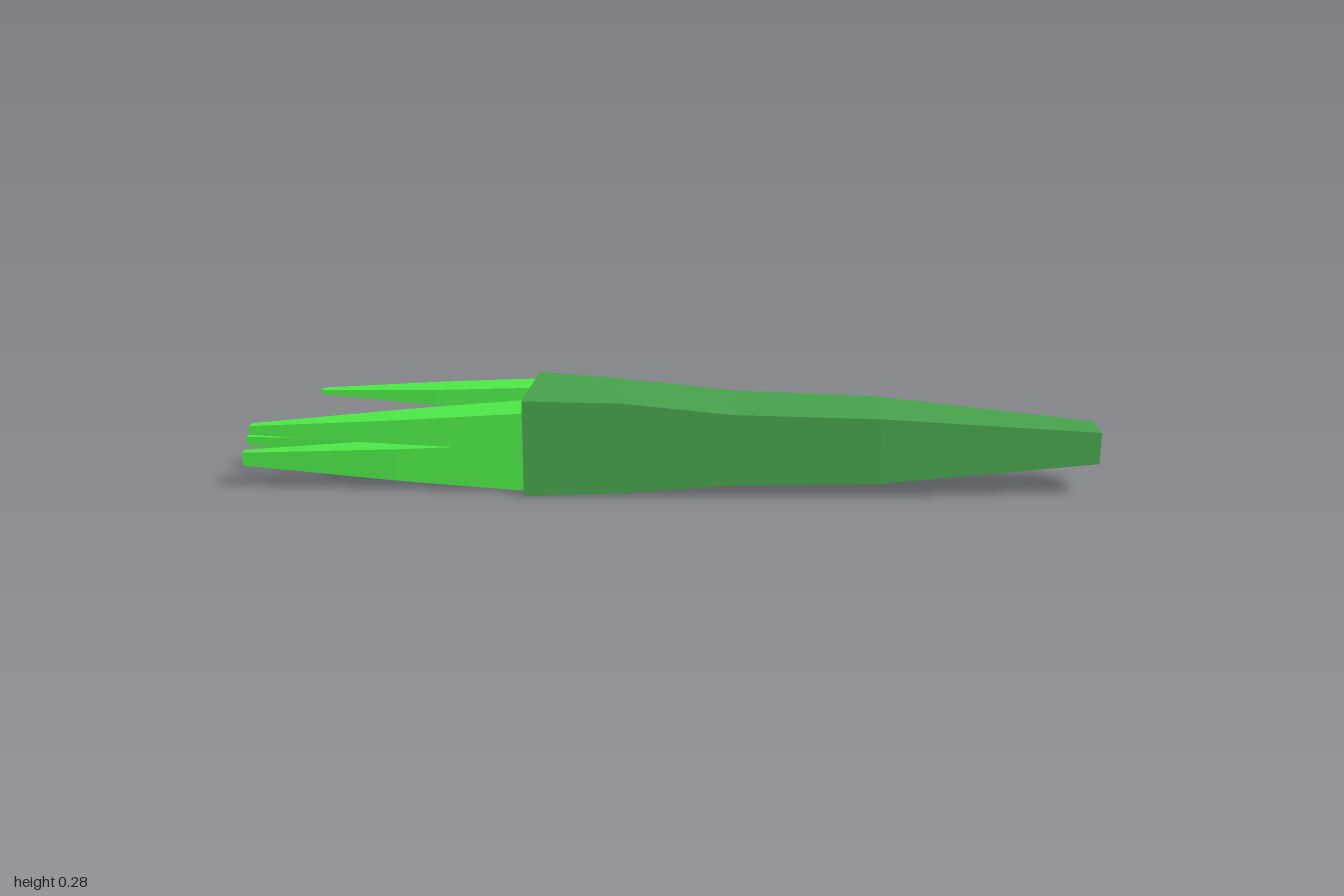
import * as THREE from 'three';

// Loft through four-cornered sections: [leftX, leftZ, rightX, rightZ, bottomY, topY]
function loft(sections) {
  const rings = sections.map(([lx, lz, rx, rz, y0, y1]) => [
    [lx, y0, lz], [rx, y0, rz], [rx, y1, rz], [lx, y1, lz],
  ]);
  const pos = [];
  const quad = (a, b, c, d) => [a, b, c, a, c, d].forEach((p) => pos.push(...p));
  for (let s = 0; s < rings.length - 1; s++) {
    const a = rings[s], b = rings[s + 1];
    for (let i = 0; i < 4; i++) {
      const j = (i + 1) % 4;
      quad(a[i], a[j], b[j], b[i]);
    }
  }
  const first = rings[0], last = rings[rings.length - 1];
  quad(first[3], first[2], first[1], first[0]);
  quad(...last);
  const geo = new THREE.BufferGeometry();
  geo.setAttribute('position', new THREE.Float32BufferAttribute(pos, 3));
  geo.computeVertexNormals();
  return geo;
}

export function createModel() {
  const group = new THREE.Group();
  const stalkMat = new THREE.MeshStandardMaterial({ color: 0x46a04b, flatShading: true });
  const leafMat = new THREE.MeshStandardMaterial({ color: 0x4ce846, flatShading: true });

  // Stalk, from the leafy end to the narrow tip
  const stalk = new THREE.Mesh(loft([
    [-0.32, -0.22, -0.07, -0.39, 0.0, 0.275],
    [-0.145, -0.015, 0.05, -0.17, 0.008, 0.268],
    [0.04, 0.23, 0.235, 0.09, 0.036, 0.24],
    [0.29, 0.55, 0.465, 0.41, 0.046, 0.232],
    [0.70, 1.0, 0.785, 0.93, 0.095, 0.185],
  ]), stalkMat);
  stalk.name = 'stalk';
  group.add(stalk);

  // Points across the leafy end: 0 = inner (+x) corner, 1 = outer (-x) corner
  const across = (t) => [-0.07 - 0.25 * t, -0.39 + 0.17 * t];

  // Leaves: base span, base heights, tip centre, tip heights
  const leaves = [
    { name: 'outerUpperLeaf', span: [0.55, 1], base: [0.135, 0.24], tip: [-0.777, -0.818], end: [0.173, 0.198] },
    { name: 'outerLowerLeaf', span: [0.5, 0.88], base: [0.003, 0.14], tip: [-0.742, -0.907], end: [0.055, 0.093] },
    { name: 'middleLowerLeaf', span: [0.24, 0.52], base: [0.015, 0.115], tip: [-0.665, -0.987], end: [0.08, 0.105] },
    { name: 'innerUpperLeaf', span: [0.0, 0.33], base: [0.18, 0.255], tip: [-0.505, -0.835], end: [0.226, 0.237] },
    { name: 'innerMiddleLeaf', span: [0.0, 0.28], base: [0.11, 0.165], tip: [-0.388, -0.722], end: [0.124, 0.145] },
  ];
  const mix = THREE.MathUtils.lerp;
  for (const { name, span, base, tip, end } of leaves) {
    const root = [...across(span[0]), ...across(span[1]), ...base];
    const point = [tip[0] + 0.012, tip[1] - 0.008, tip[0] - 0.012, tip[1] + 0.008, ...end];
    // Slightly fuller halfway along
    const middle = root.map((v, i) => mix(v, point[i], 0.45));
    middle[0] += 0.008; middle[1] -= 0.006;
    middle[2] -= 0.008; middle[3] += 0.006;
    const leaf = new THREE.Mesh(loft([root, middle, point]), leafMat);
    leaf.name = name;
    group.add(leaf);
  }
  return group;
}
